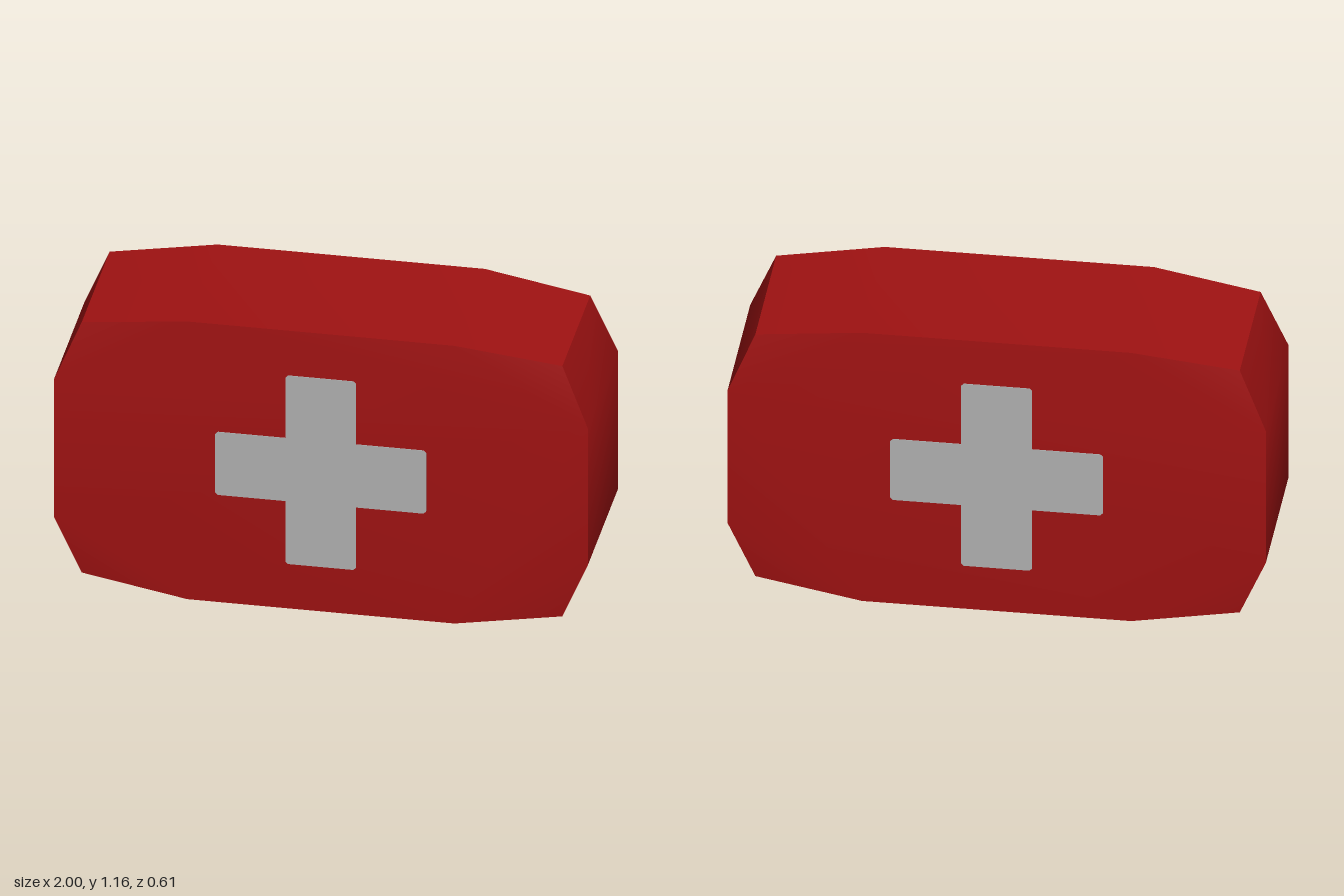
import * as THREE from 'three';
import { toCreasedNormals } from 'three/addons/utils/BufferGeometryUtils.js';

const H = 1.165, CY = H / 2, DEPTH = 0.3, CORNER_DEPTH = 0.275;

// One quarter of the outline: side, recessed corner, edge; mirrored to 12 points
function outline() {
  const quarter = [[1, 0.287], [0.9, 0.525], [0.5, CY]];
  const ring = [];
  for (const [sx, sy] of [[1, 1], [-1, 1], [-1, -1], [1, -1]]) {
    const pts = quarter.map(([x, y]) => [x * sx, CY + y * sy]);
    if (sx * sy < 0) pts.reverse();
    ring.push(...pts);
  }
  return ring;
}

// Case: two faces with pinched corners, joined by the side walls
function caseGeometry() {
  const ring = outline(), n = ring.length, pos = [], idx = [];
  for (const s of [1, -1])
    ring.forEach(([x, y], i) => pos.push(x, y, s * (i % 3 === 1 ? CORNER_DEPTH : DEPTH)));
  const face = (a, b, c) => {
    idx.push(a, b, c);                 // front
    idx.push(a + n, c + n, b + n);     // back
  };
  const flat = [...ring.keys()].filter(i => i % 3 !== 1);
  for (let i = 1; i < flat.length - 1; i++) face(flat[0], flat[i], flat[i + 1]);
  for (let i = 1; i < n; i += 3) face(i - 1, i, i + 1);
  for (let i = 0; i < n; i++) {
    const j = (i + 1) % n;
    idx.push(i, i + n, j + n, i, j + n, j);
  }
  const g = new THREE.BufferGeometry();
  g.setAttribute('position', new THREE.Float32BufferAttribute(pos, 3));
  g.setIndex(idx);
  return toCreasedNormals(g, 0.6);
}

// Cross plate with slightly softened outer corners
function crossGeometry() {
  const R = 0.395, A = 0.132, r = 0.01;
  const s = new THREE.Shape();
  for (let k = 0; k < 4; k++) {
    const c = Math.round(Math.cos(k * Math.PI / 2)), d = Math.round(Math.sin(k * Math.PI / 2));
    const arm = [[A, -A], [R - r, -A], [R, -A + r], [R, A - r], [R - r, A]];
    arm.forEach(([x, y], i) => {
      const px = x * c - y * d, py = x * d + y * c;
      if (k === 0 && i === 0) s.moveTo(px, py); else s.lineTo(px, py);
    });
  }
  s.closePath();
  return new THREE.ExtrudeGeometry(s, { depth: 0.004, bevelEnabled: false });
}

export function createModel() {
  const red = new THREE.MeshStandardMaterial({ color: 0xa01212 });
  red.name = 'deep red';
  const grey = new THREE.MeshStandardMaterial({ color: 0xb0b0b0 });
  grey.name = 'light grey';

  const model = new THREE.Group();
  model.name = 'firstAidCase';

  const body = new THREE.Mesh(caseGeometry(), red);
  body.name = 'case';
  model.add(body);

  // A cross on the front and on the back
  const cross = crossGeometry();
  for (const [name, s] of [['frontCross', 1], ['backCross', -1]]) {
    const m = new THREE.Mesh(cross, grey);
    m.name = name;
    m.position.set(0, CY, s * (DEPTH - 0.001));
    if (s < 0) m.rotation.y = Math.PI;
    model.add(m);
  }
  return model;
}
